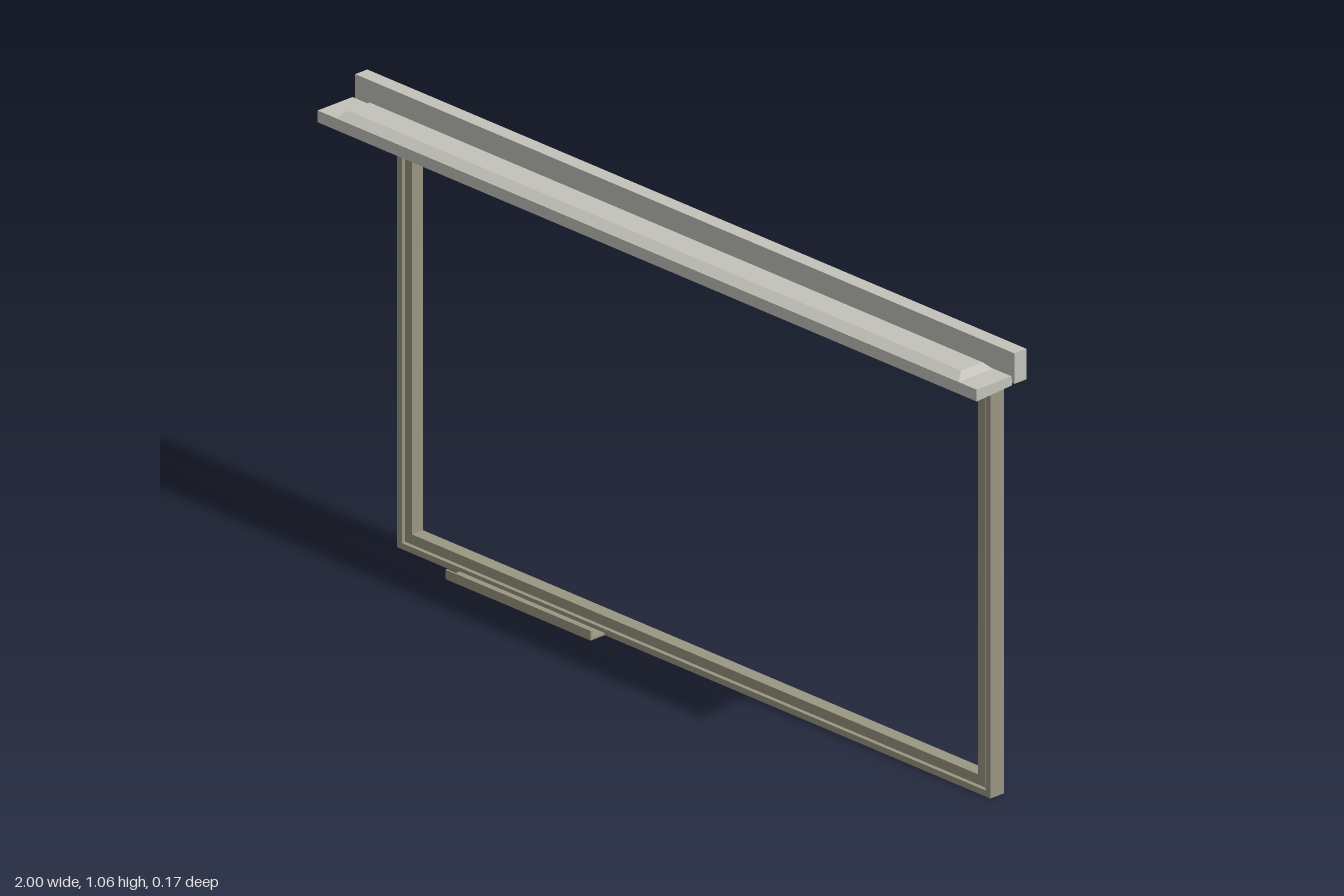
import * as THREE from 'three';

const stone = new THREE.MeshStandardMaterial({ color: 0xc3c3bb });
stone.name = 'pale grey';
const bronze = new THREE.MeshStandardMaterial({ color: 0x9a9683 });
bronze.name = 'bronze grey';

export function createModel() {
  const model = new THREE.Group();
  const add = (name, geometry, material) => {
    const mesh = new THREE.Mesh(geometry, material);
    mesh.name = name;
    model.add(mesh);
  };

  // Box given by its limits on each axis
  const box = (x0, x1, y0, y1, z0, z1) =>
    new THREE.BoxGeometry(x1 - x0, y1 - y0, z1 - z0)
      .translate((x0 + x1) / 2, (y0 + y1) / 2, (z0 + z1) / 2);

  // Rectangular ring: outer half width and heights, inset, depth range
  const ring = (halfX, y0, y1, inset, z0, z1) => {
    const trace = (path, h, a, b) =>
      path.moveTo(-h, a).lineTo(h, a).lineTo(h, b).lineTo(-h, b).closePath();
    const shape = trace(new THREE.Shape(), halfX, y0, y1);
    shape.holes.push(trace(new THREE.Path(), halfX - inset, y0 + inset, y1 - inset));
    return new THREE.ExtrudeGeometry(shape, { depth: z1 - z0, bevelEnabled: false })
      .translate(0, 0, z0);
  };

  // Window frame: outer rim, recessed groove and inner sash
  add('outerFrame', ring(0.9, 0, 0.965, 0.014, -0.087, -0.047), bronze);
  add('frameGroove', ring(0.886, 0.014, 0.951, 0.006, -0.077, -0.057), bronze);
  add('innerSash', ring(0.88, 0.02, 0.945, 0.021, -0.083, -0.051), bronze);

  // Small bottom ledge with an upturned lip
  add('bottomLedge', box(-0.71, -0.27, 0, 0.005, -0.047, -0.006), bronze);
  add('ledgeLip', box(-0.71, -0.27, 0.005, 0.022, -0.011, -0.006), bronze);

  // Header bar above the frame
  add('headerBar', box(-1, 1, 0.99, 1.06, -0.056, -0.021), stone);

  // Shelf with a slightly sloping underside
  const profile = new THREE.Shape([
    [0.088, 0.983], [0.088, 1.01], [-0.013, 1.01], [-0.015, 0.989],
  ].map(([z, y]) => new THREE.Vector2(-z, y)));
  add('shelf', new THREE.ExtrudeGeometry(profile, { depth: 2, bevelEnabled: false })
    .rotateY(Math.PI / 2).translate(-1, 0, 0), stone);

  // Raised panel on the shelf, tapered toward its top
  const panel = box(-0.945, 0.945, 1.009, 1.025, -0.013, 0.088);
  const p = panel.attributes.position;
  for (let i = 0; i < p.count; i++) {
    if (p.getY(i) > 1.02) {
      p.setX(i, Math.sign(p.getX(i)) * 0.93);
      p.setZ(i, p.getZ(i) > 0.04 ? 0.066 : 0.004);
    }
  }
  panel.computeVertexNormals();
  add('raisedPanel', panel, stone);

  // Thin tab joining shelf and header
  add('joiningTab', box(-0.205, -0.195, 0.997, 1.002, -0.022, -0.012), stone);

  return model;
}
